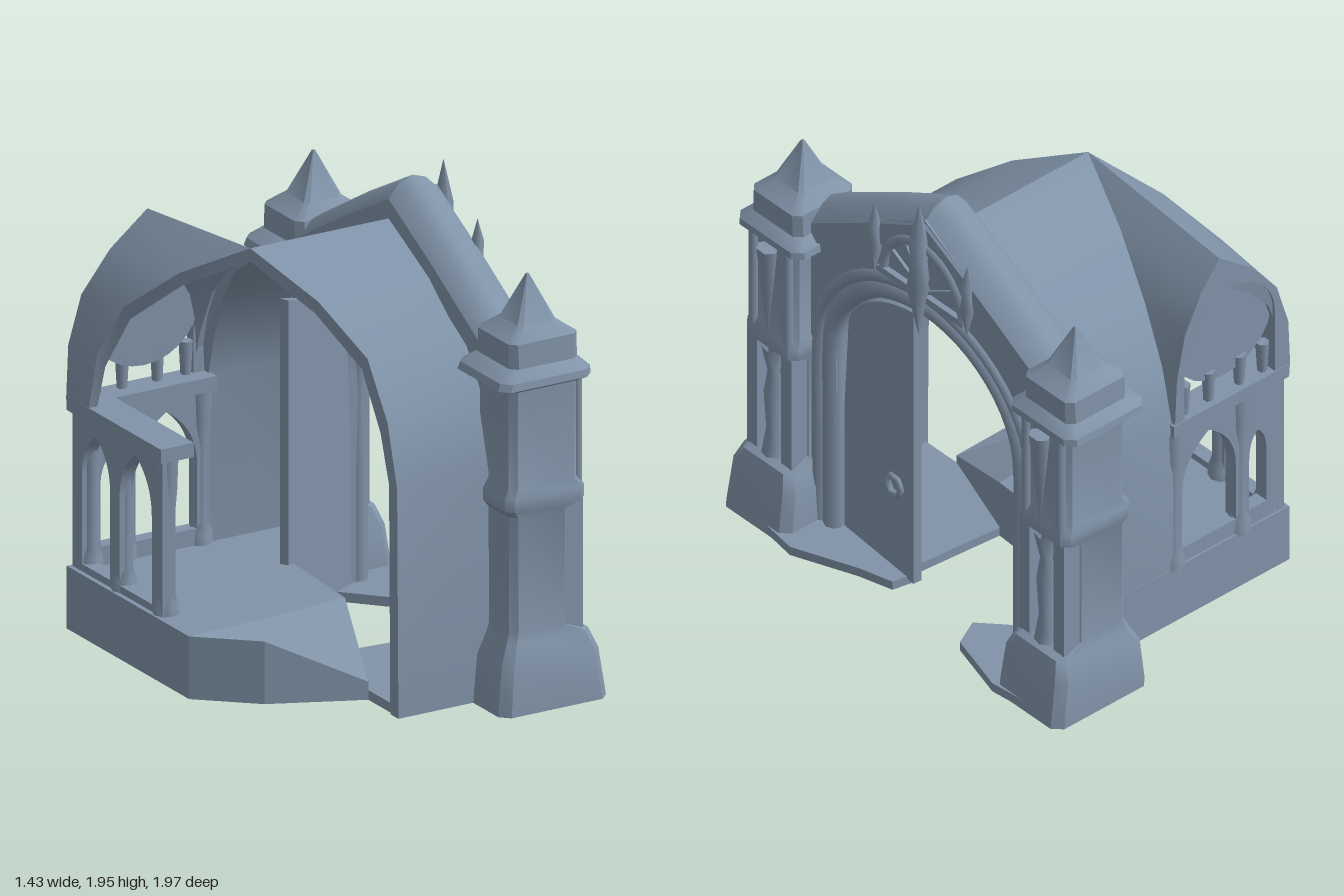
import * as THREE from 'three';
import { toCreasedNormals } from 'three/addons/utils/BufferGeometryUtils.js';

const stone = new THREE.MeshStandardMaterial({ color: 0x8093a8 });
const V = (x, y, z) => new THREE.Vector3(x, y, z);

// Closed solid through equal-length rings, turned outwards by its signed volume
function loft(rings) {
  const n = rings[0].length, tris = [];
  for (let i = 0; i + 1 < rings.length; i++)
    for (let j = 0; j < n; j++) {
      const k = (j + 1) % n, a = rings[i][j], b = rings[i][k], c = rings[i + 1][k], d = rings[i + 1][j];
      tris.push([a, b, c], [a, c, d]);
    }
  const end = rings[rings.length - 1];
  for (let j = 1; j + 1 < n; j++)
    tris.push([rings[0][0], rings[0][j + 1], rings[0][j]], [end[0], end[j], end[j + 1]]);
  let vol = 0;
  for (const [a, b, c] of tris) vol += a.dot(b.clone().cross(c));
  const pts = tris.flatMap(t => (vol < 0 ? [t[0], t[2], t[1]] : t));
  return toCreasedNormals(new THREE.BufferGeometry().setFromPoints(pts), 0.6);
}

const polygon = pts => new THREE.Shape(pts.map(p => new THREE.Vector2(p[0], p[1])));
const lathe = (pts, n) => new THREE.LatheGeometry(pts.map(p => new THREE.Vector2(...p)), n);
const extrude = (shape, depth) =>
  new THREE.ExtrudeGeometry(shape, { depth, bevelEnabled: false, curveSegments: 14 });
// Plan outline of [x, z] points raised from the ground
const raised = (pts, h) => extrude(polygon(pts.map(([x, z]) => [x, -z])), h).rotateX(-Math.PI / 2);

// Pointed opening
function archHole(a, b, y0, spring, top) {
  const m = (a + b) / 2, p = new THREE.Path();
  p.moveTo(a, y0);
  p.lineTo(b, y0);
  p.lineTo(b, spring);
  p.quadraticCurveTo(b, (spring + top) / 2 + 0.03, m, top);
  p.quadraticCurveTo(a, (spring + top) / 2 + 0.03, a, spring);
  p.lineTo(a, y0);
  return p;
}

// Chamfered rectangle ring
function ring(y, x0, x1, hz) {
  const c = Math.min(x1 - x0, hz * 2) * 0.1;
  return [[x0 + c, -hz], [x1 - c, -hz], [x1, -hz + c], [x1, hz - c],
    [x1 - c, hz], [x0 + c, hz], [x0, hz - c], [x0, -hz + c]].map(p => V(p[0], y, p[1]));
}

export function createModel() {
  const model = new THREE.Group();
  const add = (name, geo, x = 0, y = 0, z = 0, parent = model) => {
    const m = new THREE.Mesh(geo, stone);
    m.name = name;
    m.position.set(x, y, z);
    parent.add(m);
    return m;
  };

  // Vault curves share one list of heights
  const ys = [0, 0.95, 1.2, 1.42, 1.6, 1.75];
  const zs = [0.76, 0.75, 0.68, 0.53, 0.3, 0];
  const right = [-0.12, -0.12, -0.13, -0.17, -0.25, -0.35];
  const left = [-0.72, -0.72, -0.71, -0.65, -0.52, -0.35];
  const brokenZ = [-0.6, -0.6, -0.55, -0.45, -0.25, 0];
  const inner = y => (y > 1 ? y - 0.055 : y);

  // Nave walls and roof: broken edge at the front, groin against the transept at the back
  for (const s of [1, -1])
    add(s > 0 ? 'frontNaveShell' : 'backNaveShell', loft(ys.map((y, i) => {
      const z = s * zs[i], zi = z * 0.92;
      const x = s < 0 ? right[i] : z > 0.5 ? -0.14 : -0.14 - 0.42 * (0.5 - z);
      return [V(x, y, z), V(0.34, y, z), V(0.34, inner(y), zi), V(x, inner(y), zi)];
    })));

  // Transept vault, whose ceiling dips to the round window at the back
  const sunk = y => y - 0.1 * (y - 0.95);
  const dipped = y => 0.95 + 0.72 * (y - 0.95);
  const transept = (name, xs, starts) => add(name, loft(ys.slice(1).map((y, j) => {
    const x = xs[j + 1], z = starts[j + 1], xi = -0.4 + (x + 0.4) * 0.88;
    return [V(x, y, z), V(x, sunk(y), -0.76), V(xi, dipped(y), -0.75), V(xi, inner(y), z)];
  })));
  transept('transeptRightVault', right, zs.map(z => -z));
  transept('transeptLeftVault', left, brokenZ);

  // Transept gable with a blind round window over a low gallery
  const gable = [];
  for (let i = 1; i < 6; i++) gable.push([left[i], sunk(ys[i])]);
  for (let i = 4; i > 0; i--) gable.push([right[i], sunk(ys[i])]);
  const gableShape = polygon(gable);
  const win = new THREE.Path();
  win.moveTo(-0.64, 0.965);
  win.lineTo(-0.17, 0.965);
  win.lineTo(-0.17, 1.26);
  win.absarc(-0.405, 1.26, 0.235, 0, Math.PI, false);
  win.lineTo(-0.64, 0.965);
  gableShape.holes.push(win);
  add('transeptGable', extrude(gableShape, 0.05), 0, 0, -0.765);
  add('blindWindow', new THREE.CylinderGeometry(0.25, 0.25, 0.03, 28).rotateX(Math.PI / 2)
    .scale(1, 0.92, 1), -0.405, 1.28, -0.715);
  for (const x of [-0.61, -0.49, -0.33, -0.2])
    add('galleryPost', new THREE.CylinderGeometry(0.028, 0.02, 0.15, 6), x, 1.03, -0.725);

  // Gallery ledges and the open arcades under them
  add('backLedge', new THREE.BoxGeometry(0.6, 0.06, 0.13), -0.41, 0.937, -0.705);
  add('sideLedge', new THREE.BoxGeometry(0.15, 0.06, 0.7), -0.645, 0.937, -0.41);
  const panel = (a, b) => polygon([[a, 0.24], [b, 0.24], [b, 0.92], [a, 0.92]]);
  const back = panel(-0.7, -0.11);
  back.holes.push(archHole(-0.61, -0.52, 0.34, 0.58, 0.71), archHole(-0.45, -0.17, 0.33, 0.6, 0.84));
  add('backArcade', extrude(back, 0.06), 0, 0, -0.75);
  const side = panel(0.08, 0.74);
  side.holes.push(archHole(0.16, 0.4, 0.29, 0.65, 0.87), archHole(0.47, 0.68, 0.29, 0.65, 0.85));
  add('sideArcade', extrude(side, 0.06).rotateY(Math.PI / 2), -0.7, 0, 0);
  for (const [x, z] of [[-0.66, -0.12], [-0.66, -0.43], [-0.65, -0.7], [-0.485, -0.72], [-0.14, -0.72]])
    add('arcadeColumn', lathe([[0.055, 0], [0.05, 0.06], [0.036, 0.1], [0.036, 0.42], [0.045, 0.52],
      [0.05, 0.66]], 8), x, 0.25, z);

  // Raised floor, its crumbled front end, and the low floor inside the front wall
  add('raisedFloor', raised([[-0.72, -0.76], [0.3, -0.76], [0.3, -0.45], [0.05, -0.38], [0.02, 0.1],
    [-0.3, 0.13], [-0.72, 0.13]], 0.26));
  const rubble = raised([[-0.72, 0.13], [-0.3, 0.13], [0.02, 0.1], [-0.13, 0.52], [-0.5, 0.35], [-0.72, 0.15]], 0.26);
  const rp = rubble.attributes.position;
  for (let i = 0; i < rp.count; i++)
    if (rp.getY(i) > 0.1 && rp.getZ(i) > 0.14) rp.setY(i, 0.26 - 0.5 * Math.max(0, rp.getX(i) + 0.5));
  rubble.computeVertexNormals();
  add('crumbledFloor', rubble);
  add('lowFloor', raised([[-0.13, 0.1], [0.02, 0.1], [0.48, 0.14], [0.48, 0.7], [-0.13, 0.74]], 0.04));

  // Low aprons in front of the doors
  add('frontApron', raised([[0.46, 0.1], [0.56, 0.12], [0.6, 0.27], [0.71, 0.55], [0.68, 0.75], [0.3, 0.75], [0.3, 0.5]], 0.04));
  add('backApron', raised([[0.3, -0.5], [0.3, -0.75], [0.68, -0.8], [0.7, -0.62], [0.62, -0.34], [0.5, -0.28]], 0.04));

  // Portal wall
  const wall = polygon([[-0.68, 0], [-0.68, 1.46], [0, 1.85], [0.68, 1.46], [0.68, 0], [0.52, 0], [0.52, 0.93]]);
  wall.absellipse(0, 0.93, 0.52, 0.455, 0, Math.PI, false);
  wall.lineTo(-0.52, 0);
  add('portalWall', extrude(wall, 0.2).rotateY(Math.PI / 2), 0.3, 0, 0);

  // Coping along the gable, cut as one rounded profile
  const coping = (z, y) => [[0.28, -0.1], [0.28, 0], [0.33, 0.06], [0.39, 0.08], [0.45, 0.06], [0.51, 0],
    [0.51, -0.1]].map(([x, dy]) => V(x, y + dy, z));
  add('gableCoping', loft([coping(0.68, 1.45), coping(0.32, 1.66), coping(0, 1.83), coping(-0.32, 1.66), coping(-0.68, 1.45)]));

  // Mouldings around the doorway
  const moulding = (name, w, rise, x, r) => {
    const pts = [V(x, 0.02, w), V(x, 0.5, w)];
    for (let i = 0; i <= 12; i++) {
      const t = Math.PI * i / 12;
      pts.push(V(x, 0.93 + rise * Math.sin(t), w * Math.cos(t)));
    }
    pts.push(V(x, 0.5, -w), V(x, 0.02, -w));
    add(name, new THREE.TubeGeometry(new THREE.CatmullRomCurve3(pts), 50, r, 8));
  };
  moulding('innerMoulding', 0.555, 0.49, 0.475, 0.045);
  moulding('outerMoulding', 0.62, 0.55, 0.49, 0.03);

  // Half-round tracery and pinnacles in the gable
  add('traceryArch', new THREE.TorusGeometry(0.23, 0.022, 6, 20, Math.PI).rotateY(Math.PI / 2), 0.505, 1.5, 0);
  add('tracerySill', new THREE.BoxGeometry(0.04, 0.03, 0.5), 0.505, 1.49, 0);
  for (let i = 1; i < 6; i++) {
    const bar = add('traceryBar', new THREE.BoxGeometry(0.025, 0.21, 0.016).translate(0, 0.115, 0), 0.5, 1.5, 0);
    bar.rotation.x = (i - 3) * Math.PI / 6;
  }
  const spindle = (r, h) => lathe([[0, 0], [r, 0.38 * h], [r * 0.7, 0.55 * h], [r * 0.8, 0.72 * h], [0, h]], 6);
  add('centrePinnacle', spindle(0.05, 0.65), 0.53, 1.3, 0);
  for (const s of [1, -1]) add('sidePinnacle', spindle(0.032, 0.34), 0.52, 1.45, s * 0.27);

  // Door leaves: one barely ajar, one swung inwards
  const leaf = new THREE.Shape();
  leaf.moveTo(0, 0.03);
  leaf.lineTo(0.45, 0.03);
  leaf.lineTo(0.45, 1.36);
  leaf.quadraticCurveTo(0.14, 1.29, 0.03, 1.08);
  leaf.lineTo(0, 0.6);
  for (const [name, z, turn] of [['shutDoor', 0.51, Math.PI / 2 - 0.09], ['openDoor', -0.51, Math.atan2(-0.44, -0.9)]]) {
    const door = new THREE.Group();
    door.name = name;
    door.position.set(0.42, 0, z);
    door.rotation.y = turn;
    model.add(door);
    add('doorLeaf', extrude(leaf, 0.04), 0, 0, 0, door);
    add('doorHandle', new THREE.TorusGeometry(0.045, 0.014, 5, 6), 0.34, 0.45, 0.05, door);
  }

  // Corner towers: [height, inner x, outer x, half depth]
  const towerRings = [[0, 0.2, 0.69, 0.19], [0.2, 0.22, 0.66, 0.18], [0.28, 0.26, 0.63, 0.145], [0.32, 0.275, 0.54, 0.135],
    [0.8, 0.275, 0.54, 0.135], [0.83, 0.25, 0.61, 0.148], [0.88, 0.25, 0.61, 0.148], [0.92, 0.275, 0.585, 0.132],
    [1.32, 0.275, 0.585, 0.132], [1.35, 0.2, 0.62, 0.19], [1.38, 0.21, 0.62, 0.185], [1.42, 0.27, 0.58, 0.145],
    [1.52, 0.27, 0.58, 0.14], [1.57, 0.34, 0.51, 0.085], [1.75, 0.42, 0.43, 0.006]];
  for (const s of [1, -1]) {
    const tower = new THREE.Group();
    tower.name = s > 0 ? 'frontTower' : 'backTower';
    tower.position.z = s * 0.795;
    model.add(tower);
    add('towerBody', loft(towerRings.map(r => ring(...r))), 0, 0, 0, tower);
    for (const z of [-0.1, 0.1]) {
      add('nichePier', new THREE.BoxGeometry(0.08, 0.54, 0.06), 0.56, 0.56, z, tower);
      add('upperColonnette', new THREE.CylinderGeometry(0.02, 0.02, 0.46, 7), 0.59, 1.12, z, tower);
    }
    add('nicheColumn', lathe([[0.05, 0], [0.03, 0.12], [0.04, 0.3], [0.025, 0.4], [0.05, 0.52]], 7), 0.575, 0.3, 0, tower);
    add('pendant', new THREE.ConeGeometry(0.05, 0.43, 6).rotateX(Math.PI).scale(0.8, 1, 1), 0.61, 1.1, 0, tower);
  }
  return model;
}
